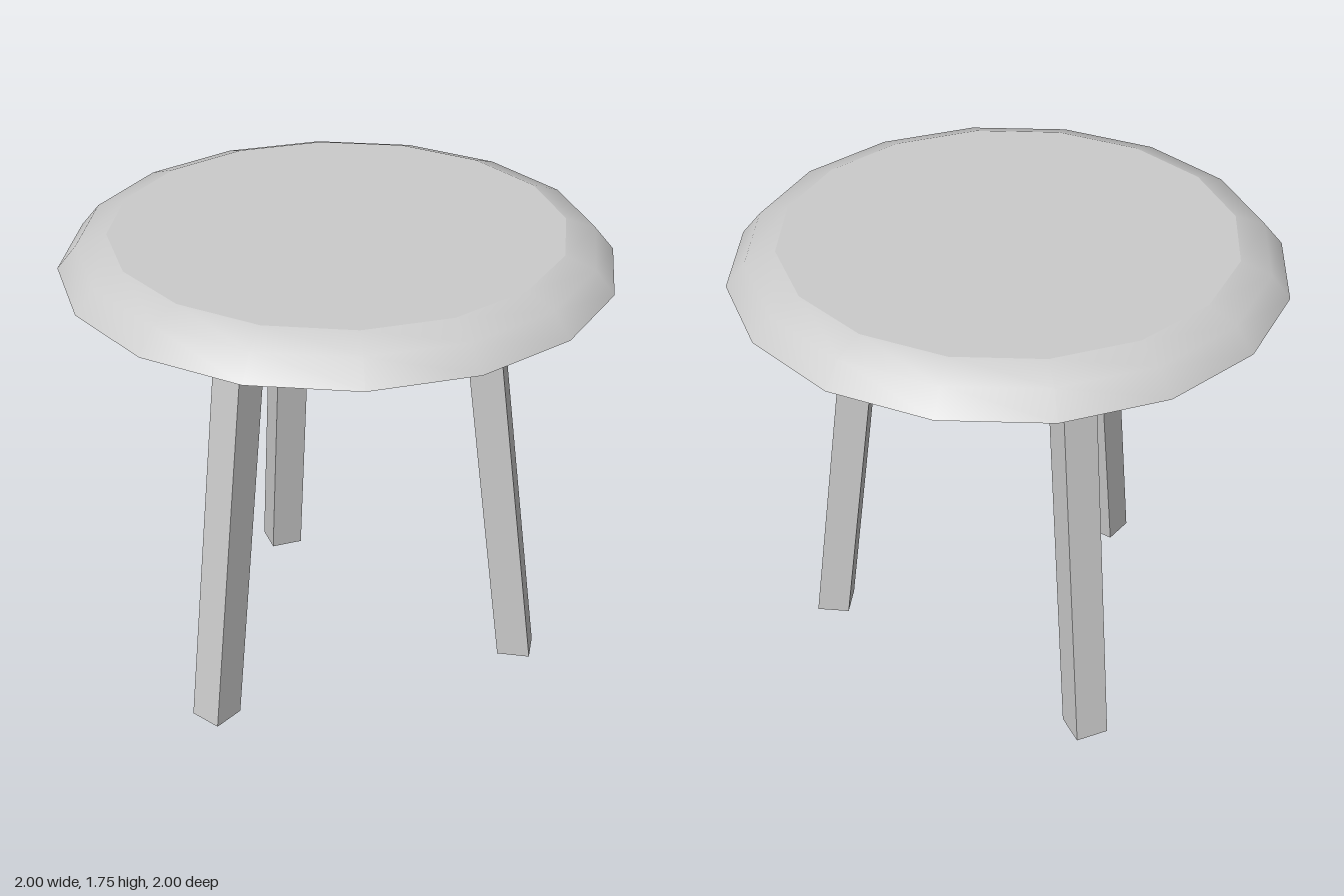
import * as THREE from 'three';

const SIDES = 16, SEAT_Y = 1.625, TOP_Y = 1.75, TOP_R = 0.82;

export function createModel() {
  const model = new THREE.Group();
  model.name = 'stool';
  const material = new THREE.MeshStandardMaterial({ color: 0xcccccc });

  const add = (parent, name, geometry) => {
    const mesh = new THREE.Mesh(geometry, material);
    mesh.name = name;
    parent.add(mesh);
    return mesh;
  };

  // Seat: smooth rounded rim with a flat top and underside
  const seat = new THREE.Group();
  seat.name = 'seat';
  model.add(seat);
  const profile = [[1, SEAT_Y], [0.93, 1.71], [TOP_R, TOP_Y]].map(p => new THREE.Vector2(...p));
  add(seat, 'seatRim', new THREE.LatheGeometry(profile, SIDES));
  add(seat, 'seatTop', new THREE.CircleGeometry(TOP_R, SIDES).rotateX(-Math.PI / 2).translate(0, TOP_Y, 0));
  add(seat, 'seatUnderside', new THREE.CircleGeometry(1, SIDES).rotateX(Math.PI / 2).translate(0, SEAT_Y, 0));

  // Leg: square post sheared outwards so both ends stay level
  const leg = new THREE.BoxGeometry(0.125, SEAT_Y, 0.125).translate(0, SEAT_Y / 2, 0);
  const pos = leg.attributes.position;
  for (let i = 0; i < pos.count; i++) {
    pos.setZ(i, pos.getZ(i) + THREE.MathUtils.lerp(0.71, 0.508, pos.getY(i) / SEAT_Y));
  }
  leg.computeVertexNormals();

  // Three legs evenly spaced around the seat
  ['frontLeg', 'backLeftLeg', 'backRightLeg'].forEach((name, i) => {
    add(model, name, leg).rotation.y = i * Math.PI * 2 / 3;
  });

  return model;
}
